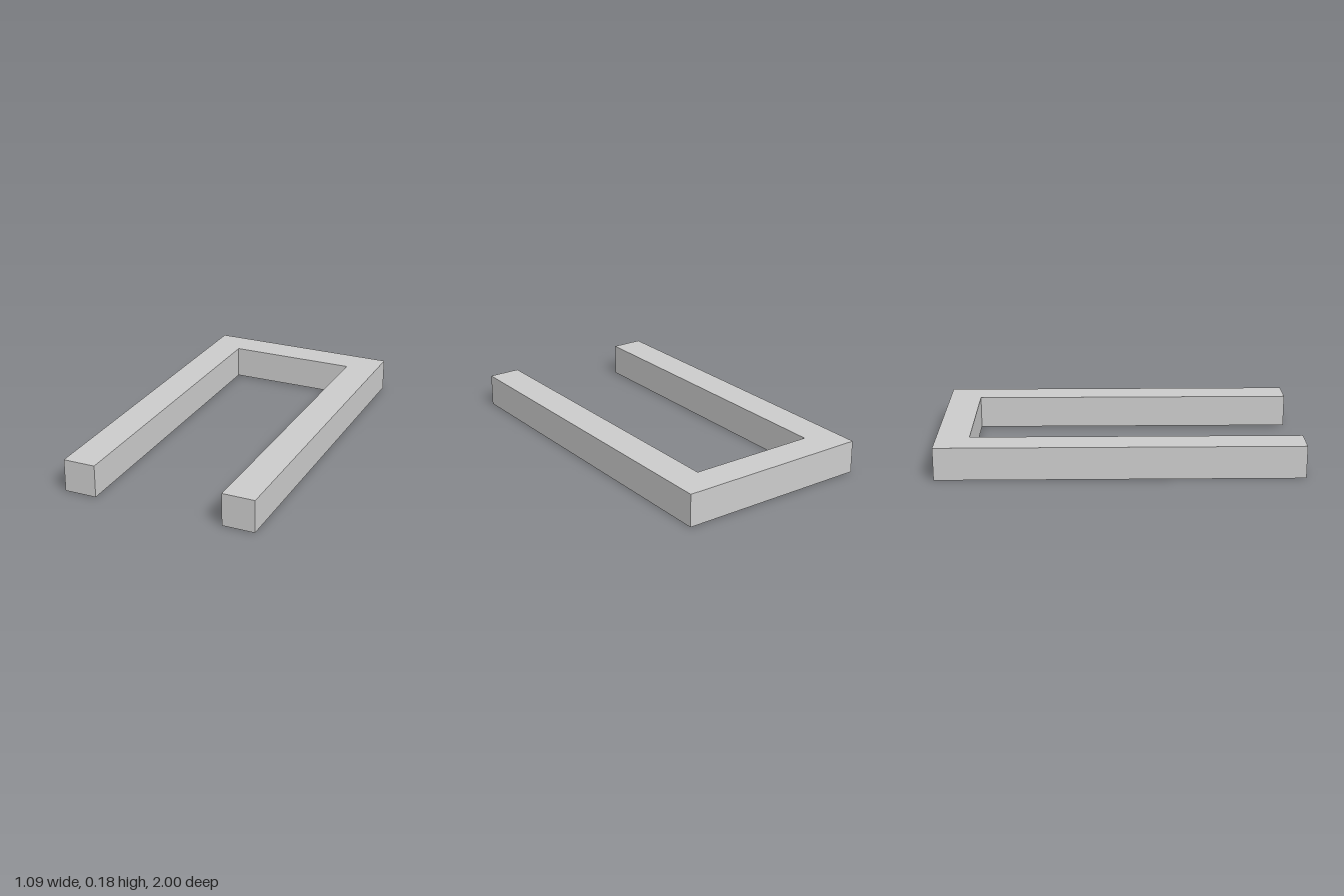
import * as THREE from 'three';

// U-shaped bar frame of square section, open towards the front
export function createModel() {
  const bar = 2 / 11;          // section of the bar
  const outer = 3 * bar;       // half the overall width
  const inner = outer - bar;   // half the opening

  // Plan outline: shape y becomes -z once laid flat
  const plan = new THREE.Shape([
    [-outer, -1], [-inner, -1], [-inner, 1 - bar], [inner, 1 - bar],
    [inner, -1], [outer, -1], [outer, 1], [-outer, 1],
  ].map(([x, y]) => new THREE.Vector2(x, y)));

  const geometry = new THREE.ExtrudeGeometry(plan, { depth: bar, bevelEnabled: false });
  geometry.rotateX(-Math.PI / 2);

  const frame = new THREE.Mesh(
    geometry,
    new THREE.MeshStandardMaterial({ color: 0xcccccc, flatShading: true }),
  );
  frame.name = 'uFrame';

  const model = new THREE.Group();
  model.name = 'uShapedFrame';
  model.add(frame);
  return model;
}
